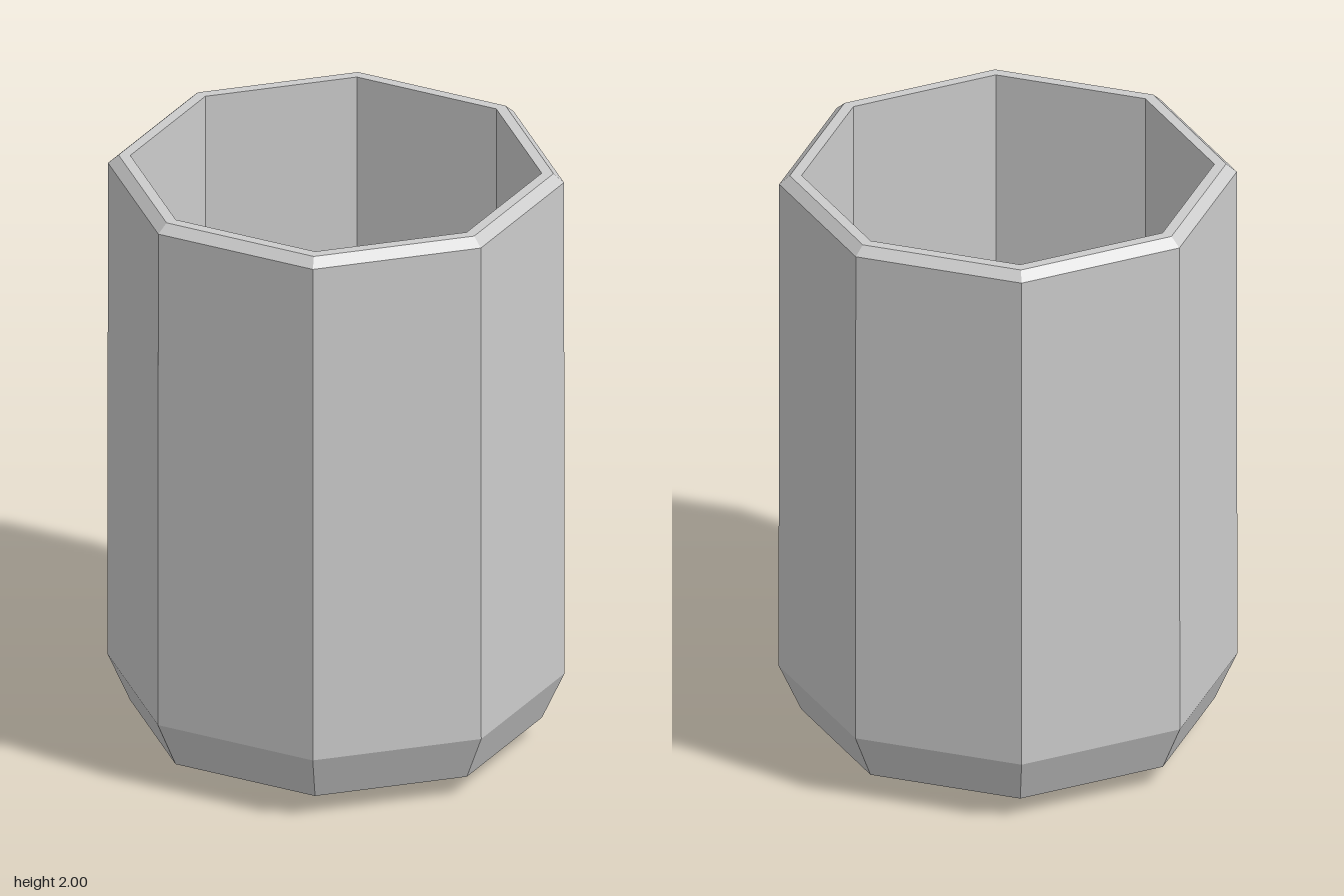
import * as THREE from 'three';

const SIDES = 8;

export function createModel() {
  const group = new THREE.Group();
  group.name = 'octagonalCup';
  const material = new THREE.MeshStandardMaterial({ color: 0xcccccc, flatShading: true });

  // Turns a [radius, height] profile into an eight-sided surface
  const addPart = (name, profile) => {
    const points = profile.map(([r, y]) => new THREE.Vector2(r, y));
    const mesh = new THREE.Mesh(new THREE.LatheGeometry(points, SIDES), material);
    mesh.name = name;
    group.add(mesh);
  };

  // Underside, two chamfers and straight outer walls
  addPart('outerShell', [[0, 0], [0.49, 0], [0.665, 0.07], [0.738, 0.23], [0.736, 1.97]]);
  // Bevelled rim with a flat top
  addPart('rim', [[0.736, 1.97], [0.702, 2], [0.664, 2]]);
  // Vertical inner walls down to the flat floor
  addPart('innerShell', [[0.664, 2], [0.664, 0.08], [0, 0.08]]);

  return group;
}
